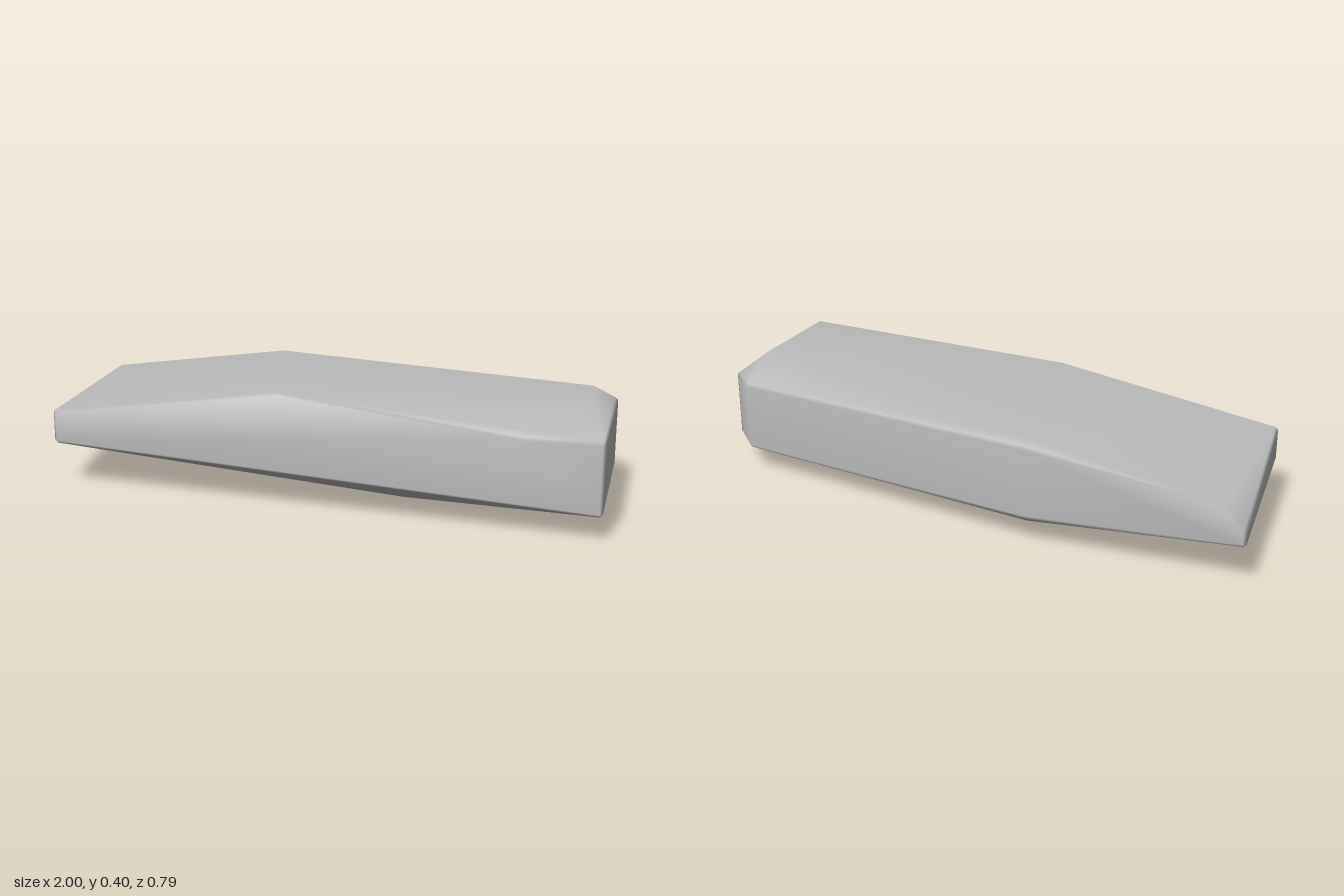
import * as THREE from 'three';
import { ConvexGeometry } from 'three/addons/geometries/ConvexGeometry.js';
import { mergeVertices } from 'three/addons/utils/BufferGeometryUtils.js';

const WEAR = 0.01; // size of the worn bevel along every edge

// Corners of the slab, [x, y, z]
const corners = [
  // top plateau
  [-0.12, 0.396, 0.285], [0.93, 0.396, 0.305], [0.93, 0.396, -0.08],
  // back shoulder
  [-0.27, 0.377, -0.366], [-0.27, 0.362, -0.394], [-0.27, 0.105, -0.394], [-0.27, 0.088, -0.38],
  // thin end
  [-0.915, 0.283, 0.297], [-0.915, 0.16, 0.297],
  [-0.928, 0.278, -0.368], [-1, 0.2, -0.373], [-1, 0.15, -0.373],
  // thick end, front corner
  [1, 0.338, 0.394], [1, 0.088, 0.394], [0.75, 0.335, 0.388],
  // thick end, clipped back corner
  [1, 0.335, -0.17], [0.905, 0.337, -0.26],
  [1, 0.09, -0.17], [0.905, 0.088, -0.26],
  // keel point underneath
  [0.31, 0, 0.115],
];

// Swap each corner for six points around a spot just inside it
function wornCorner([x, y, z]) {
  const inside = new THREE.Vector3(
    x - Math.sign(x) * WEAR,
    y - Math.sign(y - 0.2) * WEAR,
    z - Math.sign(z) * WEAR,
  );
  const points = [];
  for (const s of [-WEAR, WEAR]) {
    for (const axis of [[s, 0, 0], [0, s, 0], [0, 0, s]]) {
      points.push(inside.clone().add(new THREE.Vector3(...axis)));
    }
  }
  return points;
}

export function createModel() {
  const stone = new THREE.MeshStandardMaterial({ color: 0xbcbcbc });
  stone.name = 'stone grey';

  // Shared vertices give flat faces with softly shaded bevels
  const hull = new ConvexGeometry(corners.flatMap(wornCorner));
  hull.deleteAttribute('normal');
  const geometry = mergeVertices(hull);
  geometry.computeVertexNormals();

  const slab = new THREE.Mesh(geometry, stone);
  slab.name = 'rockSlab';

  const group = new THREE.Group();
  group.name = 'flatRock';
  group.add(slab);
  return group;
}
